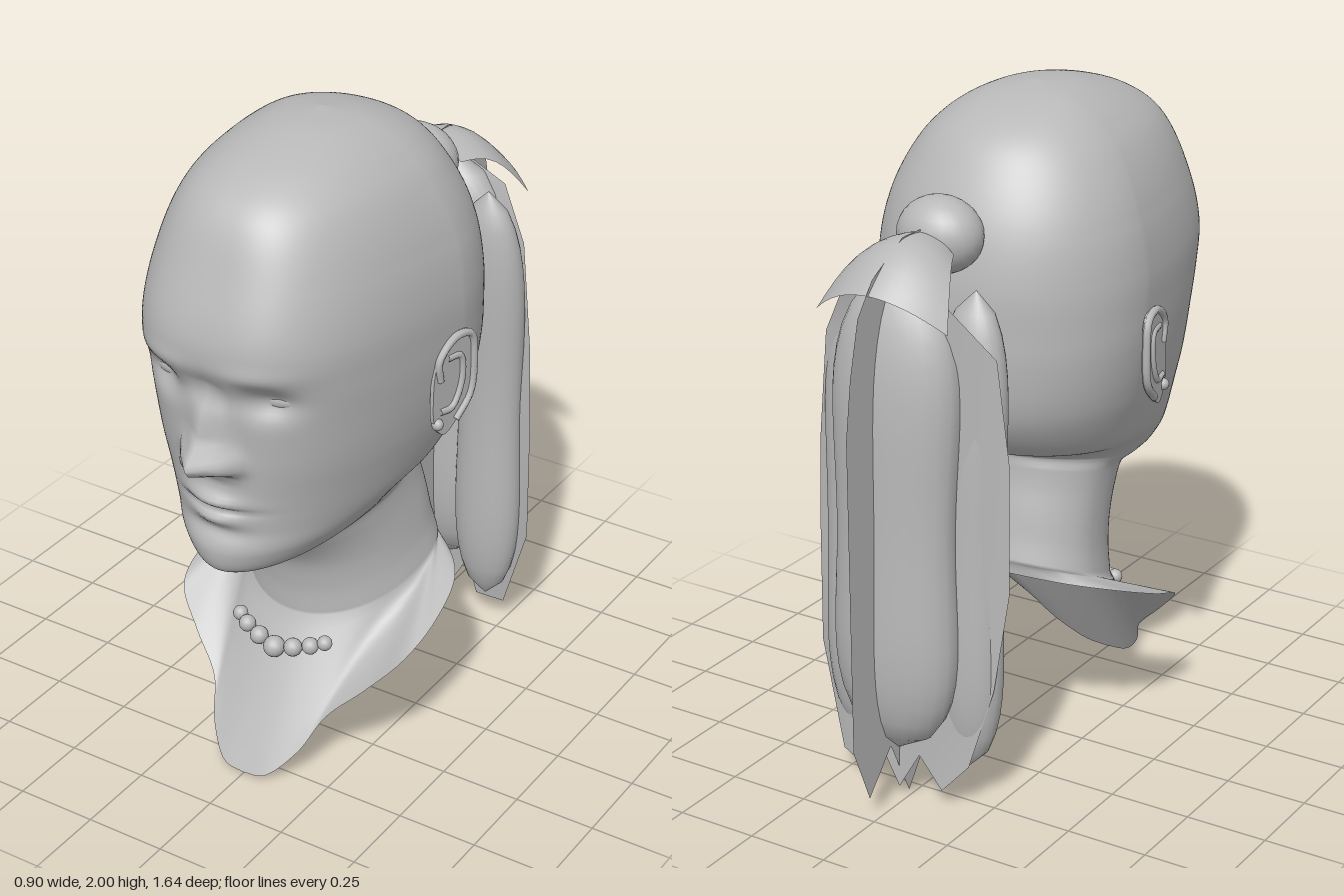
import * as THREE from 'three';

const grey = new THREE.MeshStandardMaterial({ color: 0xb8b8b8, side: THREE.DoubleSide });
grey.name = 'plainGrey';

const V = (x, y, z = 0) => new THREE.Vector3(x, y, z);
const lerp = THREE.MathUtils.lerp;
const bell = (v, c, s) => Math.exp(-(((v - c) / s) ** 2));

function mesh(name, geometry) {
  const m = new THREE.Mesh(geometry, grey);
  m.name = name;
  return m;
}

// Smooth surface over a grid of points; point(i, j) runs downwards in i, around in j
function surface(rows, cols, closed, point) {
  const pos = [], idx = [], n = closed ? cols : cols + 1;
  for (let i = 0; i <= rows; i++)
    for (let j = 0; j < n; j++) pos.push(...point(i, j).toArray());
  for (let i = 0; i < rows; i++)
    for (let j = 0; j < cols; j++) {
      const k = (j + 1) % n, a = i * n + j, b = a + n, c = i * n + n + k, d = i * n + k;
      idx.push(a, b, c, a, c, d);
    }
  const g = new THREE.BufferGeometry();
  g.setAttribute('position', new THREE.Float32BufferAttribute(pos, 3));
  g.setIndex(idx);
  g.computeVertexNormals();
  return g;
}

// Tilted sections: front z, front y, back z, back y, half width, squareness of the front
const sections = [
  [.13, 2, .13, 2, 0, 2], [.30, 1.985, 0, 1.975, .13, 2], [.50, 1.925, -.15, 1.91, .24, 2.3],
  [.60, 1.85, -.24, 1.81, .32, 2.6], [.675, 1.70, -.315, 1.65, .39, 2.9],
  [.735, 1.52, -.345, 1.5, .42, 3], [.725, 1.40, -.35, 1.38, .42, 3],
  [.70, 1.28, -.35, 1.28, .412, 2.9], [.69, 1.15, -.335, 1.15, .39, 2.7],
  [.685, 1.04, -.29, 1.05, .36, 2.4], [.685, .93, -.23, .985, .328, 2.2],
  [.70, .85, -.17, .965, .295, 2], [.68, .785, -.155, .955, .27, 1.85],
  [.62, .765, -.15, .945, .26, 1.8], [.48, .765, -.15, .92, .255, 1.8],
  [.41, .72, -.155, .86, .257, 1.9], [.345, .64, -.17, .78, .265, 2],
  [.32, .54, -.185, .70, .275, 2], [.315, .44, -.20, .64, .29, 2],
];

// Nose height above the face, from brow to lip: y, height
const nose = [[1.40, 0], [1.32, .035], [1.24, .06], [1.175, .13], [1.145, .11], [1.12, .025], [1.085, 0]];
function noseHeight(y) {
  for (let i = 1; i < nose.length; i++) {
    const [y0, h0] = nose[i - 1], [y1, h1] = nose[i];
    if (y <= y0 && y >= y1) return lerp(h0, h1, (y0 - y) / (y0 - y1));
  }
  return 0;
}

// Forward relief of nose, eye sockets, lips and chin
function faceRelief(x, y) {
  const ax = Math.abs(x);
  return noseHeight(y) * bell(x, 0, lerp(.06, .035, THREE.MathUtils.clamp((y - 1.15) / .2, 0, 1)))
    + .032 * bell(ax, .07, .026) * bell(y, 1.16, .035)
    - .05 * bell(ax, .17, .075) * bell(y, 1.365, .05)
    - .03 * bell(x, 0, .06) * bell(y, 1.37, .05)
    + .01 * bell(ax, .15, .1) * bell(y, 1.45, .03)
    + .03 * bell(x, 0, .08) * bell(y, 1.02, .025)
    + .024 * bell(x, 0, .07) * bell(y, .965, .024)
    - .02 * bell(x, 0, .1) * bell(y, .996, .01)
    - .01 * bell(x, 0, .1) * bell(y, .92, .025);
}

function headAndNeck() {
  const fronts = new THREE.CatmullRomCurve3(sections.map(s => V(s[0], s[1], s[4])));
  const backs = new THREE.CatmullRomCurve3(sections.map(s => V(s[2], s[3], s[5])));
  // Lower edge of the skin, from the breast round the shoulder to the nape
  const rim = new THREE.CatmullRomCurve3([
    V(0, .01, .58), V(.07, .02, .573), V(.15, .1, .51), V(.2, .2, .435), V(.3, .3, .38),
    V(.39, .4, .315), V(.41, .465, .16), V(.38, .53, 0), V(.25, .57, -.12), V(0, .605, -.215)]);
  const cols = 128, skinRows = 180, bibRows = 10;

  const skin = (t, a) => {
    const f = fronts.getPoint(t), b = backs.getPoint(t);
    const c = Math.cos(a), s = Math.sin(a);
    const mid = lerp(b.x, f.x, .38), e = 2 / (c > 0 ? b.z : 2.1);
    const k = Math.abs(c) ** e;
    // the skull narrows towards the forehead
    const taper = c > 0 ? 1 - .17 * Math.max(b.z - 2, 0) * k : 1;
    const x = Math.max(f.z, 0) * taper * Math.sign(s) * Math.abs(s) ** e;
    let z = lerp(mid, c > 0 ? f.x : b.x, k);
    const span = f.x - b.x;
    const y = span > 1e-5 ? lerp(b.y, f.y, (z - b.x) / span) : f.y;
    if (y > .86) z += faceRelief(x, y) * THREE.MathUtils.smoothstep(z, .4, .55);
    return V(x, y, z);
  };
  return mesh('headAndNeck', surface(skinRows + bibRows, cols, true, (i, j) => {
    const a = j / cols * Math.PI * 2;
    const p = skin(Math.min(i / skinRows, 1), a);
    if (i <= skinRows) return p;
    const q = rim.getPoint(1 - Math.abs(1 - a / Math.PI));
    if (a > Math.PI) q.x *= -1;
    return p.lerp(q, (i - skinRows) / bibRows);
  }));
}

// One side of the paired parts: eye, ear and earring
function sideParts(sign) {
  const g = new THREE.Group();
  g.name = sign > 0 ? 'leftSideParts' : 'rightSideParts';
  const eye = mesh('eye', new THREE.SphereGeometry(1, 24, 14));
  eye.scale.set(.065, .028, .026);
  eye.position.set(.177, 1.362, .617);
  eye.rotation.y = .25;

  const ear = new THREE.Group();
  ear.name = 'ear';
  const outline = [[.02, 1.34], [.09, 1.395], [.165, 1.38], [.18, 1.28], [.165, 1.18],
    [.10, 1.115], [.05, 1.09], [.01, 1.13], [0, 1.21]];
  const shape = new THREE.Shape(new THREE.CatmullRomCurve3(outline.map(p => V(...p)), true)
    .getPoints(40).map(p => new THREE.Vector2(p.x, p.y)));
  const tube = (name, pts, r) => mesh(name, new THREE.TubeGeometry(
    new THREE.CatmullRomCurve3(pts), 30, r, 8));
  ear.add(
    mesh('earPlate', new THREE.ExtrudeGeometry(shape, { depth: .012, bevelEnabled: false })),
    tube('earRim', [V(.03, 1.27, .01), ...outline.slice(0, 6).map(p => V(p[0] * .94 + .004, lerp(1.24, p[1], .95), .012))], .012),
    tube('earFold', [V(.06, 1.33, .008), V(.115, 1.32, .01), V(.12, 1.24, .012), V(.08, 1.17, .012), V(.03, 1.17, .01)], .011));
  ear.position.set(.395, 0, .19);
  ear.rotation.y = Math.PI / 2 - .17;

  const earring = mesh('earring', new THREE.SphereGeometry(.018, 12, 8));
  earring.position.set(.41, 1.135, .172);
  g.add(eye, ear, earring);
  g.scale.x = sign;
  return g;
}

function necklace() {
  const g = new THREE.Group();
  g.name = 'necklace';
  const beads = [[0, .35, .39, .033], [.06, .363, .38, .028], [.112, .378, .365, .026], [.15, .39, .345, .023]];
  beads.forEach(([x, y, z, r], i) => (i ? [-1, 1] : [1]).forEach(s => {
    const bead = mesh('bead', new THREE.SphereGeometry(r, 14, 10));
    bead.position.set(s * x - .01, y, z);
    g.add(bead);
  }));
  return g;
}

function ponytail() {
  const g = new THREE.Group();
  g.name = 'ponytail';
  const bun = mesh('hairBun', new THREE.SphereGeometry(1, 24, 16));
  bun.scale.set(.13, .112, .105);
  bun.position.set(.02, 1.66, -.345);
  g.add(bun);

  // Rounded locks, tapered at both ends
  const lock = (name, x, z, rx, rz, top, bottom) => g.add(mesh(name, surface(24, 24, true, (i, j) => {
    const t = i / 24, a = j / 24 * Math.PI * 2;
    const r = Math.max(1 - Math.abs(2 * t - 1) ** 5, 0) ** .6 * (1 + .05 * Math.sin(t * 9));
    const lean = .05 * (1 - t) ** 3;
    return V(x + rx * r * Math.sin(a), lerp(top, bottom, t), z + lean + rz * r * Math.cos(a));
  })));
  lock('middleLock', .02, -.59, .2, .115, 1.62, .17);
  lock('leftLock', .205, -.5, .11, .075, 1.56, .12);
  lock('rightLock', -.165, -.5, .11, .075, 1.56, .12);

  // Flat crossed sheets of hair with ragged tips
  const sheet = (name, pts) => mesh(name, new THREE.ShapeGeometry(
    new THREE.Shape(pts.map(p => new THREE.Vector2(...p)))));
  const fin = sheet('lengthwiseSheet', [[.44, 1.7], [.53, 1.7], [.68, 1.62], [.75, 1.53], [.79, 1.37],
    [.815, 1.2], [.815, .25], [.74, .07], [.63, .19], [.54, .005], [.43, .15], [.325, .39],
    [.29, .6], [.335, .92], [.375, 1.21], [.395, 1.4], [.365, 1.53], [.43, 1.56]]);
  fin.rotation.y = Math.PI / 2;
  fin.position.x = .02;
  const cross = sheet('crosswiseSheet', [[.02, 1.6], [.2, 1.54], [.29, 1.38], [.335, 1.05], [.35, .78],
    [.355, .39], [.25, .08], [.13, .05], [.09, .16], [.02, .04], [-.05, .16], [-.12, .06],
    [-.2, .15], [-.27, .4], [-.31, .7], [-.31, 1.1], [-.28, 1.4], [-.15, 1.54]]);
  const p = cross.geometry.attributes.position;
  for (let i = 0; i < p.count; i++) p.setZ(i, -.59 + .8 * p.getX(i) ** 2);
  cross.geometry.computeVertexNormals();
  g.add(fin, cross);

  // Flared drape over the top of the locks
  g.add(mesh('hairDrape', surface(8, 16, false, (i, j) => {
    const t = i / 8, u = j / 8 - 1, rise = .05 * Math.sin(t * Math.PI);
    return V(.02 + u * lerp(.1, .215, t), lerp(1.69, 1.58, t) - u * u * lerp(.05, .09, t) + rise,
      lerp(-.43, -.7, t) + u * u * .06 * t);
  })));
  return g;
}

export function createModel() {
  const model = new THREE.Group();
  model.name = 'bustWithPonytail';
  model.add(headAndNeck(), sideParts(1), sideParts(-1), necklace(), ponytail());
  return model;
}
